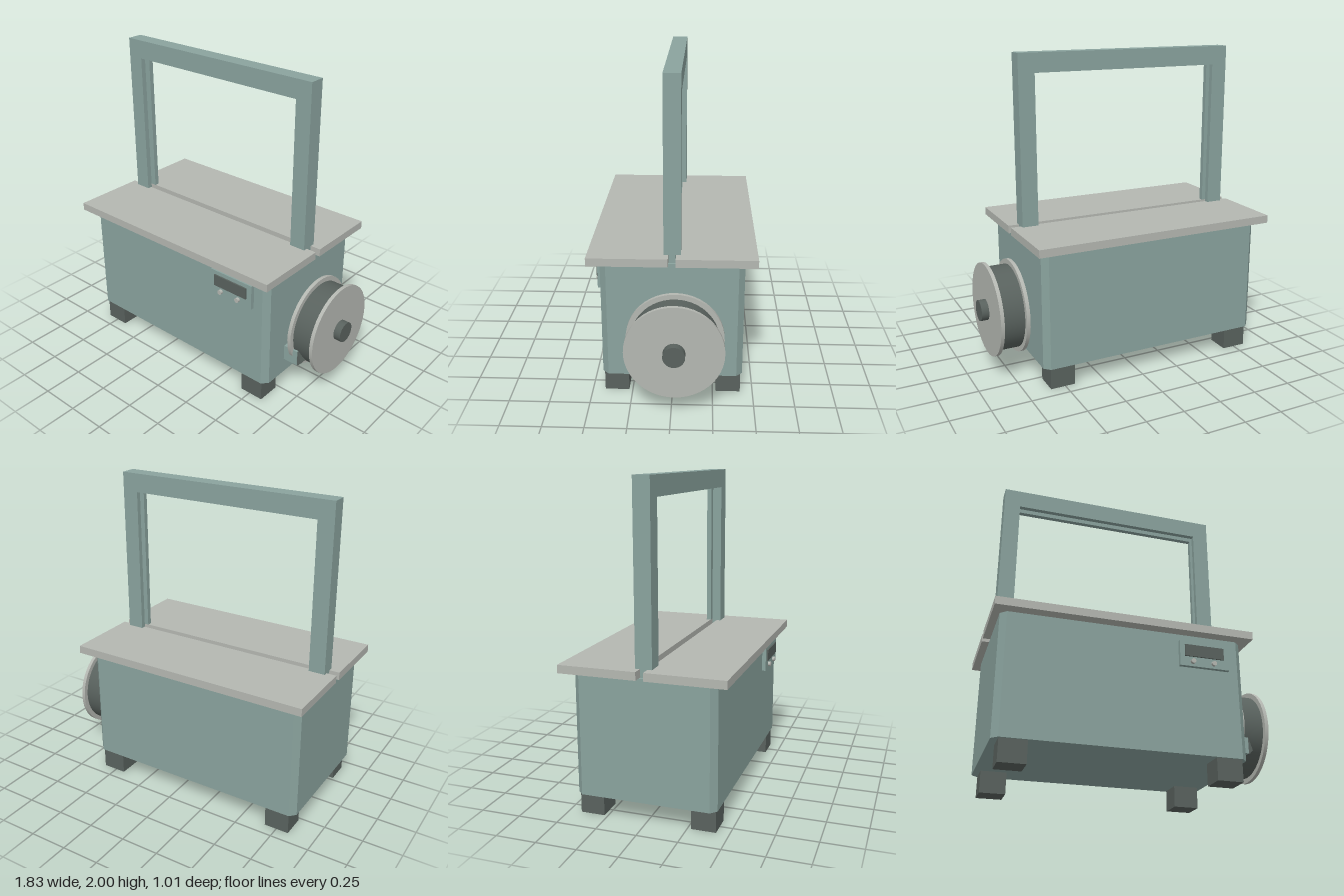
import * as THREE from 'three';

const mat = (color) => new THREE.MeshStandardMaterial({ color });

export function createModel() {
  const model = new THREE.Group();
  const teal = mat(0x8aa39e), grey = mat(0xb4b7b1), dark = mat(0x59625e);

  const add = (name, geometry, material) => {
    const mesh = new THREE.Mesh(geometry, material);
    mesh.name = name;
    model.add(mesh);
    return mesh;
  };
  // Box given by its limits on each axis
  const box = (name, material, [x0, x1], [y0, y1], [z0, z1]) => {
    const mesh = add(name, new THREE.BoxGeometry(x1 - x0, y1 - y0, z1 - z0), material);
    mesh.position.set((x0 + x1) / 2, (y0 + y1) / 2, (z0 + z1) / 2);
    return mesh;
  };
  const polygon = (points) => new THREE.Shape(points.map(([x, y]) => new THREE.Vector2(x, y)));
  const extrude = (points, depth) =>
    new THREE.ExtrudeGeometry(polygon(points), { depth, bevelEnabled: false });

  // Cabinet with chamfered vertical corners
  const c = 0.037, xl = -0.87, xr = 0.633, zh = 0.432;
  const cabinet = extrude([
    [xl + c, -zh], [xr - c, -zh], [xr, -zh + c], [xr, zh - c],
    [xr - c, zh], [xl + c, zh], [xl, zh - c], [xl, -zh + c],
  ], 0.75);
  cabinet.rotateX(-Math.PI / 2).translate(0, 0.135, 0);
  add('cabinet', cabinet, teal);

  // Feet
  for (const x of [-0.75, 0.515])
    for (const z of [-0.347, 0.347])
      box('foot', dark, [x - 0.08, x + 0.08], [0, 0.135], [z - 0.075, z + 0.075]);

  // Table top in two halves with a slot between them
  box('tableFront', grey, [-0.915, 0.682], [0.885, 0.935], [0.023, 0.504]);
  box('tableBack', grey, [-0.915, 0.682], [0.885, 0.935], [-0.504, -0.023]);

  // Arch: two cheeks and a recessed core, which leaves a groove on the inside
  const archLayer = (name, z0, z1, recess, bottom) => {
    const l = -0.745 - recess, r = 0.51 + recess, t = 1.88 + recess;
    const g = extrude([
      [-0.85, bottom], [l, bottom], [l, t], [r, t],
      [r, bottom], [0.615, bottom], [0.615, 2], [-0.85, 2],
    ], z1 - z0);
    add(name, g.translate(0, 0, z0), teal);
  };
  archLayer('archFrontCheek', 0.02, 0.051, 0, 0.935);
  archLayer('archCore', -0.02, 0.02, 0.04, 0.885);
  archLayer('archBackCheek', -0.051, -0.02, 0, 0.935);

  // Control panel with display and two buttons
  box('controlPanel', teal, [0.215, 0.532], [0.675, 0.838], [0.43, 0.457]);
  box('display', dark, [0.246, 0.496], [0.737, 0.812], [0.45, 0.466]);
  for (const x of [0.295, 0.43]) {
    const button = add('button', new THREE.CylinderGeometry(0.015, 0.015, 0.03, 20), grey);
    button.rotation.x = Math.PI / 2;
    button.position.set(x, 0.705, 0.46);
  }

  // Strap reel on the side, turning about the x axis
  const disc = (name, material, radius, x0, x1) => {
    const mesh = add(name, new THREE.CylinderGeometry(radius, radius, x1 - x0, 48), material);
    mesh.rotation.z = -Math.PI / 2;
    mesh.position.set((x0 + x1) / 2, 0.423, -0.02);
  };
  box('reelMount', teal, [0.63, 0.68], [0.337, 0.5], [-0.1, 0.06]);
  disc('innerFlange', grey, 0.297, 0.677, 0.7);
  disc('reelDrum', dark, 0.266, 0.7, 0.84);
  disc('outerFlange', grey, 0.297, 0.84, 0.863);
  disc('reelKnob', dark, 0.066, 0.863, 0.91);

  // Strap guide beside the reel, with a slanted lip
  box('strapGuide', teal, [0.63, 0.732], [0.235, 0.337], [0.145, 0.245]);
  const lip = extrude([[0.732, 0.235], [0.74, 0.235], [0.762, 0.26], [0.737, 0.337], [0.732, 0.337]], 0.09);
  add('guideLip', lip.translate(0, 0, 0.15), dark);

  return model;
}
